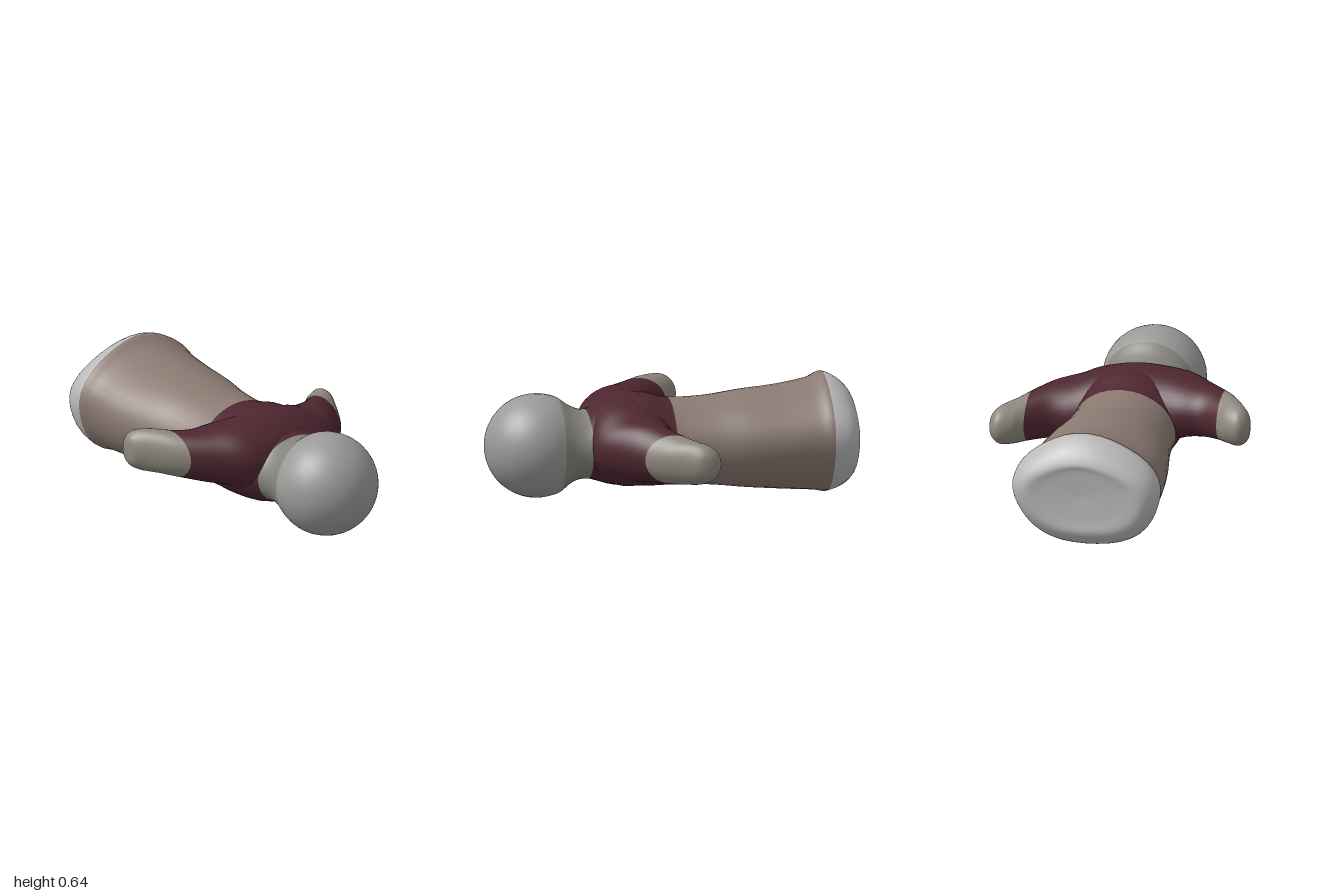
import * as THREE from 'three';

const SIDES = 40, STEPS = 6;

const spline = (a, b, c, d, t) =>
  0.5 * (2 * b + (c - a) * t + (2 * a - 5 * b + 4 * c - d) * t * t + (3 * b - a - 3 * c + d) * t * t * t);

// Smooth skin through elliptical sections [along, sideMin, sideMax, yMin, yMax], cut into coloured
// parts. Each part is [name, color, firstSection, lastSection].
function loft(group, rows, axis, parts, fold = () => 0) {
  const pos = [], last = rows.length - 1;
  const ringCount = last * STEPS + 1;
  for (let i = 0; i < ringCount; i++) {
    const k = Math.min(Math.floor(i / STEPS), last - 1), t = i / STEPS - k;
    const near = [k - 1, k, k + 1, k + 2].map((n) => rows[Math.max(0, Math.min(last, n))]);
    const [s, s0, s1, y0, y1] = rows[0].map((_, c) => spline(...near.map((r) => r[c]), t));
    for (let j = 0; j < SIDES; j++) {
      const a = (j / SIDES) * Math.PI * 2;
      const f = 1 + fold(s, a);
      const side = (s0 + s1) / 2 + ((s1 - s0) / 2) * Math.cos(a) * f;
      const up = ((y1 - y0) / 2) * Math.sin(a) * f, y = (y0 + y1) / 2;
      if (axis === 'z') pos.push(side, y + up, s);
      else pos.push(s, y - up, side);
    }
  }
  const indexFor = (from, to) => {
    const index = [];
    for (let i = from * STEPS; i < to * STEPS; i++) {
      for (let j = 0; j < SIDES; j++) {
        const a = i * SIDES + j, b = i * SIDES + ((j + 1) % SIDES);
        index.push(a, b, a + SIDES, b, b + SIDES, a + SIDES);
      }
    }
    return index;
  };
  const skin = new THREE.BufferGeometry();
  skin.setAttribute('position', new THREE.Float32BufferAttribute(pos, 3));
  skin.setIndex(indexFor(0, last));
  skin.computeVertexNormals();
  // parts share the skin's normals, so the joins stay smooth
  for (const [name, color, from, to] of parts) {
    const g = new THREE.BufferGeometry();
    g.setAttribute('position', skin.getAttribute('position'));
    g.setAttribute('normal', skin.getAttribute('normal'));
    g.setIndex(indexFor(from, to));
    const mesh = new THREE.Mesh(g, new THREE.MeshStandardMaterial({ color }));
    mesh.name = name;
    group.add(mesh);
  }
}

export function createModel() {
  const model = new THREE.Group();
  model.name = 'lyingFigure';

  // hem, skirt, chest and neck, from back to front
  const body = [
    [-0.97, 0, 0, 0.33, 0.33],
    [-0.98, -0.2, 0.2, 0.19, 0.47],
    [-0.985, -0.33, 0.32, 0.11, 0.52],
    [-0.93, -0.39, 0.385, 0.04, 0.59],
    [-0.84, -0.405, 0.395, 0.0, 0.635],
    [-0.76, -0.385, 0.38, 0.01, 0.605],
    [-0.6, -0.375, 0.365, 0.02, 0.575],
    [-0.4, -0.345, 0.34, 0.035, 0.555],
    [-0.2, -0.305, 0.3, 0.055, 0.53],
    [0.0, -0.285, 0.28, 0.06, 0.53],
    [0.16, -0.3, 0.3, 0.06, 0.565],
    [0.32, -0.29, 0.29, 0.075, 0.53],
    [0.45, -0.25, 0.245, 0.11, 0.48],
    [0.53, -0.24, 0.235, 0.095, 0.5],
  ];
  // round head
  for (let a = -25; a <= 90; a += 11.5) {
    const r = 0.28 * Math.cos((a * Math.PI) / 180);
    body.push([0.72 + 0.28 * Math.sin((a * Math.PI) / 180), -r, r, 0.295 - r, 0.295 + r]);
  }
  const fold = (z, a) => 0.018 * Math.sin(5 * a + 0.4) * Math.min(1, Math.max(0, (-0.3 - z) / 0.4));
  loft(model, body, 'z', [
    ['hem', 0xb8b8b8, 0, 4],
    ['skirt', 0x8a7a72, 4, 9],
    ['chest', 0x4e2630, 9, 12],
    ['neck', 0x85847c, 12, 14],
    ['head', 0x9a9b98, 14, body.length - 1],
  ], fold);

  // swept-back arms across the shoulders, the left one lower
  const arms = [
    [-0.715, -0.08, -0.08, 0.42, 0.42],
    [-0.705, -0.13, -0.03, 0.35, 0.49],
    [-0.66, -0.165, 0.04, 0.31, 0.53],
    [-0.59, -0.14, 0.15, 0.295, 0.54],
    [-0.53, -0.085, 0.225, 0.28, 0.535],
    [-0.42, -0.01, 0.33, 0.25, 0.535],
    [-0.3, 0.0, 0.43, 0.215, 0.55],
    [-0.18, 0.01, 0.47, 0.14, 0.56],
    [0, 0.02, 0.48, 0.08, 0.565],
    [0.18, 0.01, 0.47, 0.09, 0.53],
    [0.3, 0.0, 0.43, 0.135, 0.485],
    [0.42, -0.01, 0.33, 0.155, 0.465],
    [0.53, -0.085, 0.225, 0.165, 0.43],
    [0.59, -0.14, 0.15, 0.17, 0.41],
    [0.66, -0.165, 0.04, 0.185, 0.395],
    [0.705, -0.13, -0.03, 0.23, 0.35],
    [0.715, -0.08, -0.08, 0.29, 0.29],
  ];
  loft(model, arms, 'x', [
    ['rightHand', 0x8e897f, 0, 4],
    ['sleeves', 0x4e2630, 4, 12],
    ['leftHand', 0x8e897f, 12, 16],
  ]);
  return model;
}
